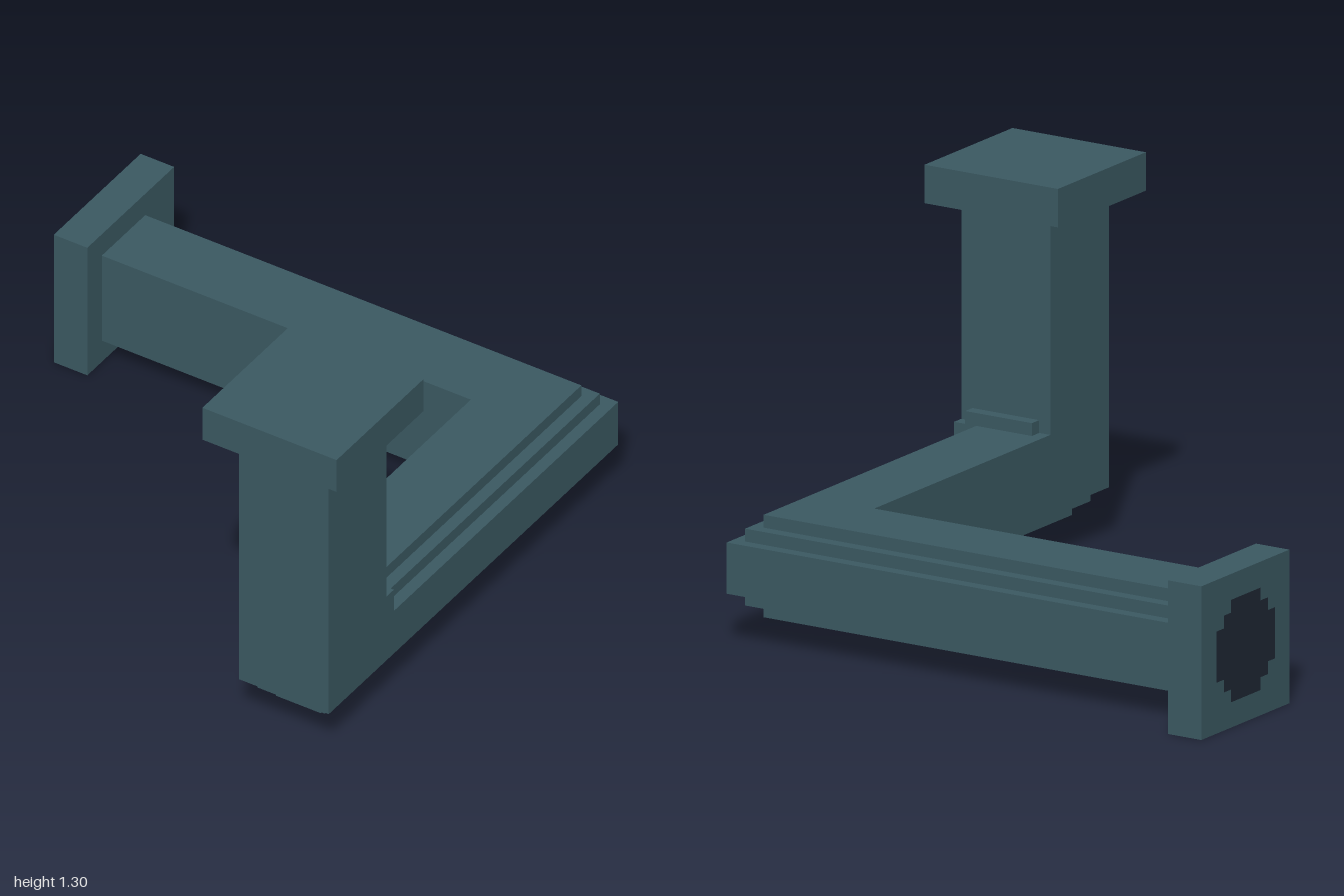
import * as THREE from 'three';

const U = 2 / 46; // the pipe sits on a grid of 46 units along its longest side

export function createModel() {
  const group = new THREE.Group();
  const metal = new THREE.MeshStandardMaterial({ color: 0x3b5962 });
  metal.name = 'slate teal metal';
  const dark = new THREE.MeshStandardMaterial({ color: 0x1e2733 });
  dark.name = 'dark opening';

  const add = (name, geometry, material = metal) => {
    const mesh = new THREE.Mesh(geometry, material);
    mesh.name = name;
    group.add(mesh);
    return mesh;
  };

  // box from its two extreme corners, in grid units
  const box = (name, x0, x1, y0, y1, z0, z1) => {
    const g = new THREE.BoxGeometry((x1 - x0) * U, (y1 - y0) * U, (z1 - z0) * U);
    g.translate((x0 + x1) / 2 * U, (y0 + y1) / 2 * U, (z0 + z1) / 2 * U);
    return add(name, g);
  };

  const outline = (points) =>
    new THREE.Shape(points.map(([x, y]) => new THREE.Vector2(x * U, y * U)));

  // one horizontal layer of the L-shaped elbow pipe
  const layer = (name, y0, y1, outer, inner, end) => {
    const xo = 21 - outer, xi = 13 + inner, zo = -20 + outer;
    const shape = outline([
      [-20, -zo], [-20, 12], [xi, 12], [xi, -end], [xo, -end], [xo, -zo],
    ]);
    const g = new THREE.ExtrudeGeometry(shape, { depth: (y1 - y0) * U, bevelEnabled: false });
    g.rotateX(-Math.PI / 2).translate(0, y0 * U, 0);
    add(name, g);
  };

  // horizontal pipe with stepped outer edges
  layer('pipeBottomStep', 2, 3, 2, 2, 18);
  layer('pipeLowerStep', 3, 4, 1, 1, 19);
  layer('pipeBody', 4, 8, 0, 0, 12);
  layer('pipeUpperStep', 8, 9, 1, 0, 11);
  layer('pipeTopStep', 9, 10, 2, 0, 11);

  // upright pipe and the stepped filler in its inner bend
  box('uprightPipe', 13, 21, 4, 27, 12, 20);
  box('bendFiller', 13, 21, 8, 10, 11, 12);
  box('bendFillerStep', 14, 20, 10, 11, 11, 12);

  // square end flanges
  box('topFlange', 11, 23, 27, 30, 10, 22);
  box('sideFlange', -23, -20, 0, 12, -22, -10);

  // stepped round opening on the side flange
  const quarter = [[4, 2], [3, 2], [3, 3], [2, 3], [2, 4]];
  const ring = [];
  for (let i = 0; i < 4; i++) {
    for (const [a, b] of quarter) {
      ring.push([[a, b], [-b, a], [-a, -b], [b, -a]][i]);
    }
  }
  const opening = new THREE.ShapeGeometry(outline(ring));
  opening.rotateY(-Math.PI / 2).translate(-23 * U - 0.002, 6 * U, -16 * U);
  add('sideOpening', opening, dark);

  return group;
}
